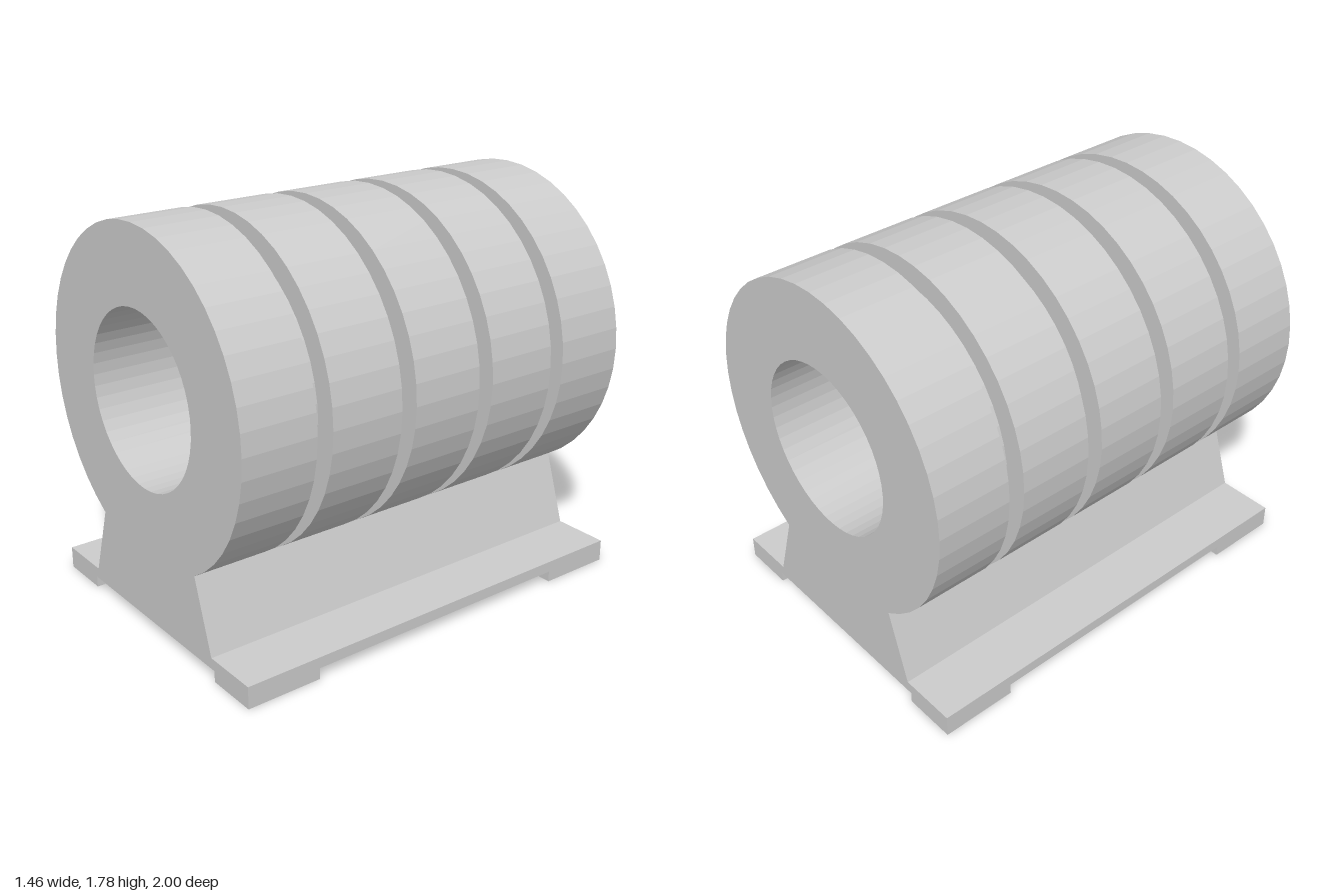
import * as THREE from 'three';

const LENGTH = 2, HALF_WIDTH = 0.73;
const RADIUS = 0.73, GROOVE_RADIUS = 0.635, BORE_RADIUS = 0.385;
const AXIS_Y = 1.055, SEGMENTS = 48;

export function createModel() {
  const group = new THREE.Group();
  group.name = 'pedestalBearing';
  const material = new THREE.MeshStandardMaterial({ color: 0xcccccc, flatShading: true });

  const add = (name, geometry, x = 0, y = 0, z = 0) => {
    const mesh = new THREE.Mesh(geometry, material);
    mesh.name = name;
    mesh.position.set(x, y, z);
    group.add(mesh);
  };

  // Hollow cylinder with four square grooves, turned around the z axis
  const profile = [[BORE_RADIUS, -1], [RADIUS, -1]];
  for (const z of [-0.622, -0.207, 0.207, 0.622]) {
    const a = z - 0.037, b = z + 0.037;
    profile.push([RADIUS, a], [GROOVE_RADIUS, a], [GROOVE_RADIUS, b], [RADIUS, b]);
  }
  profile.push([RADIUS, 1], [BORE_RADIUS, 1], [BORE_RADIUS, -1]);
  const barrel = new THREE.LatheGeometry(profile.map(([r, z]) => new THREE.Vector2(r, z)), SEGMENTS);
  barrel.rotateX(Math.PI / 2);
  add('groovedBarrel', barrel, 0, AXIS_Y);

  // Base plate and tapered pedestal, with a cradle that fits the barrel
  const base = new THREE.Shape();
  base.moveTo(-HALF_WIDTH, 0.05);
  base.lineTo(HALF_WIDTH, 0.05);
  base.lineTo(HALF_WIDTH, 0.1);
  base.lineTo(0.47, 0.1);
  for (let i = 4; i >= -4; i--) {
    const a = (i / SEGMENTS) * Math.PI * 2;
    base.lineTo(RADIUS * Math.sin(a), AXIS_Y - RADIUS * Math.cos(a));
  }
  base.lineTo(-0.47, 0.1);
  base.lineTo(-HALF_WIDTH, 0.1);
  base.closePath();
  add('pedestalBase', new THREE.ExtrudeGeometry(base, { depth: LENGTH, bevelEnabled: false }), 0, 0, -LENGTH / 2);

  // Four corner feet
  const foot = new THREE.BoxGeometry(0.24, 0.05, 0.345);
  for (const x of [-1, 1]) {
    for (const z of [-1, 1]) {
      const name = (z > 0 ? 'front' : 'back') + (x > 0 ? 'Left' : 'Right') + 'Foot';
      add(name, foot, x * (HALF_WIDTH - 0.12), 0.025, z * (LENGTH / 2 - 0.1725));
    }
  }
  return group;
}
